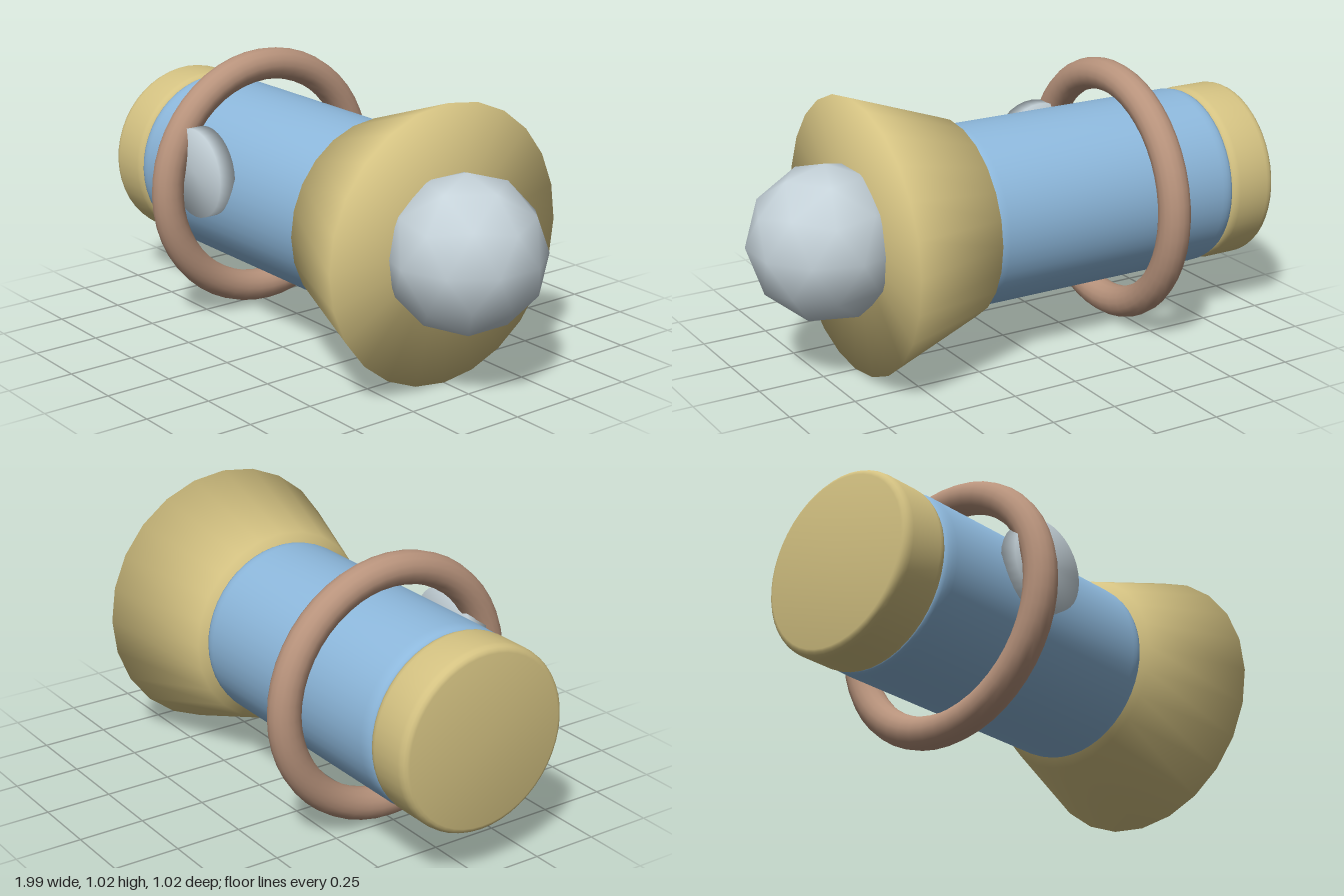
import * as THREE from 'three';
import { mergeVertices, toCreasedNormals } from 'three/addons/utils/BufferGeometryUtils.js';

const AXIS_Y = 0.51;

const material = (name, color) => {
  const m = new THREE.MeshStandardMaterial({ color });
  m.name = name;
  return m;
};

// Share the vertices of a geometry so its normals flow over every edge
function smoothed(geometry) {
  geometry.deleteAttribute('normal');
  geometry.deleteAttribute('uv');
  const merged = mergeVertices(geometry, 1e-4);
  merged.computeVertexNormals();
  return merged;
}

// Closed round barrel along x with softly rounded ends
function barrel(x0, x1, radius, bevelX, bevelR) {
  const points = [new THREE.Vector2(0, x0)];
  for (let i = 0; i <= 4; i++) {
    const a = (i / 4) * Math.PI / 2;
    points.push(new THREE.Vector2(radius - bevelR * (1 - Math.sin(a)), x0 + bevelX * (1 - Math.cos(a))));
  }
  for (let i = 4; i >= 0; i--) {
    const a = (i / 4) * Math.PI / 2;
    points.push(new THREE.Vector2(radius - bevelR * (1 - Math.sin(a)), x1 - bevelX * (1 - Math.cos(a))));
  }
  points.push(new THREE.Vector2(0, x1));
  const geometry = new THREE.LatheGeometry(points, 48);
  geometry.rotateZ(-Math.PI / 2);
  return toCreasedNormals(geometry, 0.6);
}

export function createModel() {
  const blue = material('body blue', 0x8db8dc);
  const gold = material('pale gold', 0xd4c282);
  const brown = material('ring brown', 0xb8937c);
  const grey = material('lamp grey', 0xc6d3da);

  const group = new THREE.Group();
  group.name = 'flashlight';
  const add = (name, geometry, mat, x = 0, y = AXIS_Y, z = 0) => {
    const mesh = new THREE.Mesh(geometry, mat);
    mesh.name = name;
    mesh.position.set(x, y, z);
    group.add(mesh);
  };

  // Handle and end cap
  add('body', barrel(-0.81, 0.22, 0.337, 0.05, 0.015), blue);
  add('endCap', barrel(-1, -0.805, 0.337, 0.035, 0.025), gold);

  // Flared head, shaded smoothly over its rims
  const head = new THREE.CylinderGeometry(0.508, 0.37, 0.4, 24);
  head.rotateZ(-Math.PI / 2);
  add('head', smoothed(head), gold, 0.42);

  // Bulb: a coarse ball with one corner straight up
  const bulb = new THREE.IcosahedronGeometry(0.287, 1);
  bulb.rotateZ(-Math.atan2(2, 1 + Math.sqrt(5)));
  add('bulb', bulb, grey, 0.72);

  // Carrying ring around the handle
  const ring = new THREE.TorusGeometry(0.44, 0.06, 16, 48);
  ring.rotateY(Math.PI / 2);
  add('ring', ring, brown, -0.46);

  // Switch: a thin round disc on the front
  const button = new THREE.CylinderGeometry(0.168, 0.168, 0.065, 32);
  button.rotateX(Math.PI / 2);
  add('switchButton', smoothed(button), grey, -0.36, 0.61, 0.352);

  return group;
}
